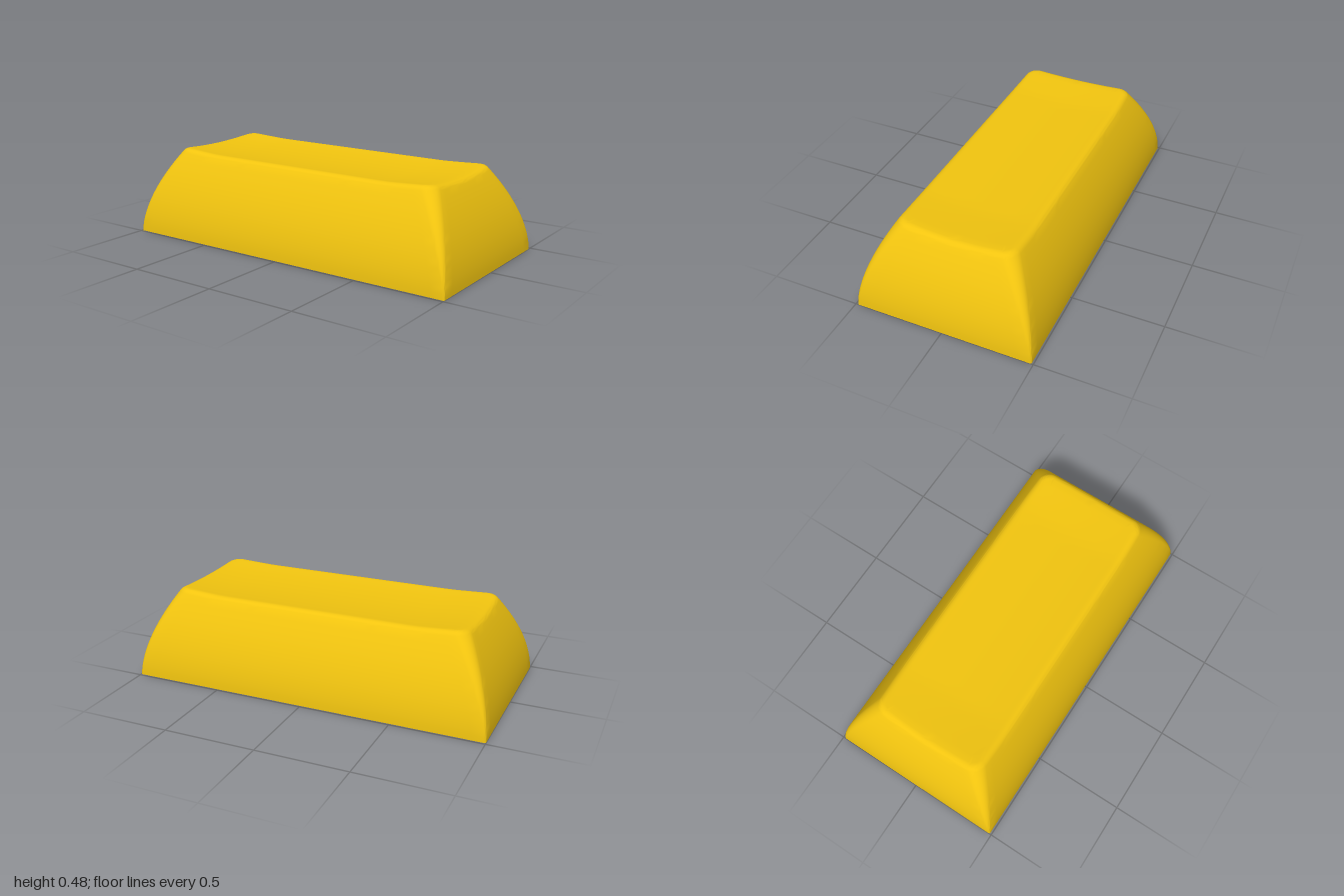
import * as THREE from 'three';
import { toCreasedNormals } from 'three/addons/utils/BufferGeometryUtils.js';

const HALF_W = 1, HALF_D = 0.49;

// Height of the dished top: lowest in the middle, highest at the four corners
function dish(x, z) {
  const fx = THREE.MathUtils.clamp((Math.abs(x) - 0.55) / 0.25, 0, 1);
  const fz = Math.min(Math.abs(z) / 0.3, 1);
  return 0.487 - 0.014 * (1 - fx ** 1.2) - 0.017 * (1 - fz * fz);
}

// Rounded-rectangle outline: corner-centre factors (sx, sz) and outward direction (ux, uz)
function makeOutline(longSteps = 32, shortSteps = 14, arcSteps = 8) {
  const corners = [[1, 1], [-1, 1], [-1, -1], [1, -1]];
  const points = [];
  corners.forEach(([cx, cz], k) => {
    for (let i = 0; i <= arcSteps; i++) {
      const a = (k + i / arcSteps) * Math.PI / 2;
      points.push({ sx: cx, sz: cz, ux: Math.cos(a), uz: Math.sin(a) });
    }
    const [nx, nz] = corners[(k + 1) % 4];
    const steps = k % 2 ? shortSteps : longSteps;
    const a = (k + 1) * Math.PI / 2;
    for (let i = 1; i < steps; i++) {
      const t = i / steps;
      points.push({ sx: cx + (nx - cx) * t, sz: cz + (nz - cz) * t, ux: Math.cos(a), uz: Math.sin(a) });
    }
  });
  return points;
}

// Outline point at a given inset, corner radius and scale towards the centre
function place(p, inset, r, scale = 1) {
  return [
    (p.sx * (HALF_W - inset - r) + p.ux * r) * scale,
    (p.sz * (HALF_D - inset - r) + p.uz * r) * scale,
  ];
}

// Join successive rings into one skin
function loft(rings) {
  const n = rings[0].length, index = [];
  for (let j = 0; j < rings.length - 1; j++) {
    for (let i = 0; i < n; i++) {
      const a = j * n + i, b = j * n + (i + 1) % n;
      index.push(a, a + n, b, b, a + n, b + n);
    }
  }
  const geometry = new THREE.BufferGeometry();
  geometry.setAttribute('position', new THREE.Float32BufferAttribute(rings.flat(2), 3));
  geometry.setIndex(index);
  return geometry;
}

export function createModel() {
  const group = new THREE.Group();
  group.name = 'keycap';
  const material = new THREE.MeshStandardMaterial({ color: 0xf1c40f });
  const outline = makeOutline();

  // Hollow inside: ceiling from its centre outwards, then walls down to the rim
  const inside = [];
  const CEILING_DROP = 0.085, INNER_R = 0.003;
  for (let k = 0; k <= 12; k++) {
    inside.push(outline.map((p) => {
      const [x, z] = place(p, 0.225, INNER_R, k / 12);
      return [x, dish(x, z) - CEILING_DROP, z];
    }));
  }
  for (let k = 9; k >= 0; k--) {
    const t = k / 10;
    inside.push(outline.map((p) => {
      const [x, z] = place(p, 0.09 + 0.135 * t ** 1.8, INNER_R);
      const [cx, cz] = place(p, 0.225, INNER_R);
      return [x, (dish(cx, cz) - CEILING_DROP) * t, z];
    }));
  }

  // Flat bottom rim
  const baseRing = outline.map((p) => {
    const [x, z] = place(p, 0, 0.008);
    return [x, 0, z];
  });
  const rim = [inside[inside.length - 1], baseRing];

  // Outside: bowed walls, rounded top edge, dished top
  const outside = [];
  const wallInset = (y) => 0.16 * (y / 0.465) ** 1.8;
  for (let k = 0; k <= 16; k++) {
    const t = k / 16;
    outside.push(outline.map((p) => {
      const r = 0.008 + 0.062 * t;
      const [ex, ez] = place(p, 0.16, 0.07);
      const y = (dish(ex, ez) - 0.022) * t;
      const [x, z] = place(p, wallInset(y), r);
      return [x, y, z];
    }));
  }
  const edge = new THREE.QuadraticBezierCurve(
    new THREE.Vector2(0, -0.022), new THREE.Vector2(0.013, -0.001), new THREE.Vector2(0.04, 0));
  const edgePoint = (p, e, scale) => {
    const [ex, ez] = place(p, 0.16, 0.07);
    const start = wallInset(dish(ex, ez) - 0.022);
    return place(p, start + e.x, 0.07 - e.x * 0.6, scale);
  };
  for (let k = 1; k <= 6; k++) {
    const e = edge.getPoint(k / 6);
    outside.push(outline.map((p) => {
      const [x, z] = edgePoint(p, e, 1);
      return [x, dish(x, z) + e.y, z];
    }));
  }
  const last = edge.getPoint(1);
  for (let k = 19; k >= 0; k--) {
    outside.push(outline.map((p) => {
      const [x, z] = edgePoint(p, last, k / 20);
      return [x, dish(x, z), z];
    }));
  }

  const parts = { innerHollow: inside, bottomRim: rim, outerShell: outside };
  for (const [name, rings] of Object.entries(parts)) {
    const mesh = new THREE.Mesh(toCreasedNormals(loft(rings), 0.6), material);
    mesh.name = name;
    group.add(mesh);
  }
  return group;
}

// Merges normals across soft edges only
